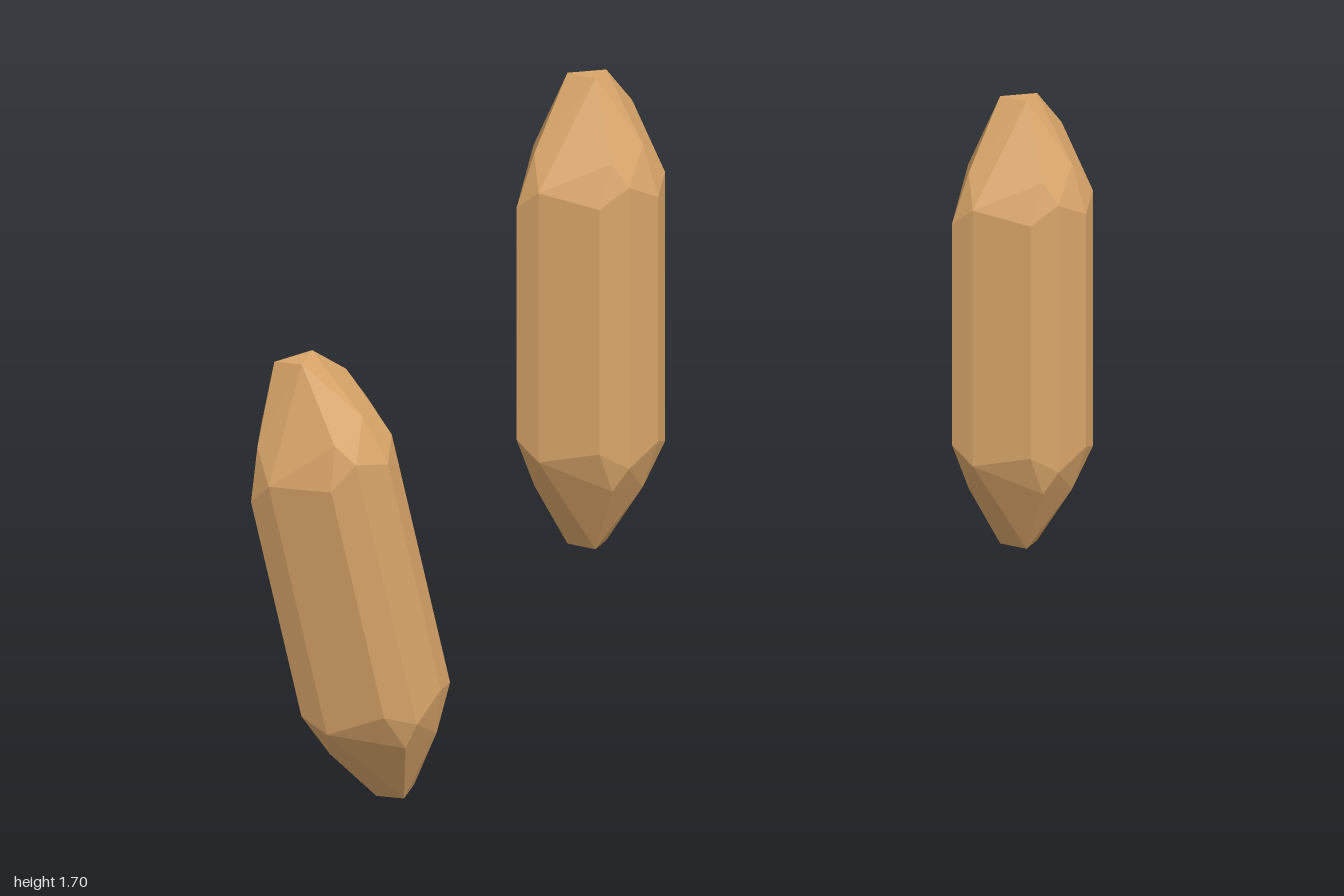
import * as THREE from 'three';
import { ConvexGeometry } from 'three/addons/geometries/ConvexGeometry.js';

// Half of one faceted shard as [x, height, z]; the lower half mirrors it.
const CORNERS = [
  // left edge and its shoulder
  [-0.133, 0.19, 0.016], [-0.115, 0.22, 0.05], [-0.1, 0.272, 0.015],
  // back edge and its shoulder
  [-0.012, 0.225, -0.124], [0.03, 0.23, -0.128], [0.022, 0.268, -0.113],
  // right edge and its shoulders
  [0.132, 0.2, -0.025], [0.122, 0.245, -0.02], [0.088, 0.317, 0.0],
  // rounded front and its shoulders
  [0.1, 0.22, 0.075], [0.06, 0.2, 0.117], [0, 0.23, 0.128],
  [-0.047, 0.2, 0.117], [-0.02, 0.268, 0.112], [0.05, 0.28, 0.09],
  // small facet at the tip
  [-0.03, 0.385, 0.0], [0.028, 0.385, 0.02], [-0.008, 0.385, 0.045],
];

function shardGeometry() {
  const points = [];
  for (const [x, y, z] of CORNERS) {
    for (const s of [1, -1]) points.push(new THREE.Vector3(x, s * y, z));
  }
  return new ConvexGeometry(points);
}

export function createModel() {
  const group = new THREE.Group();
  group.name = 'shards';
  const geometry = shardGeometry();
  const material = new THREE.MeshStandardMaterial({ color: 0xd9a569, flatShading: true });

  // Three copies of the shard: name, centre, scale, sideways tilt
  const placements = [
    ['upperShard', [-0.868, 1.313, 0.737], 1, 0],
    ['tiltedShard', [-0.455, 0.383, -0.593], 1, 14],
    ['lowerShard', [0.873, 0.488, -0.744], 0.95, 0],
  ];
  for (const [name, position, scale, tilt] of placements) {
    const shard = new THREE.Mesh(geometry, material);
    shard.name = name;
    shard.position.set(...position);
    shard.scale.setScalar(scale);
    shard.rotation.z = THREE.MathUtils.degToRad(tilt);
    group.add(shard);
  }
  return group;
}
